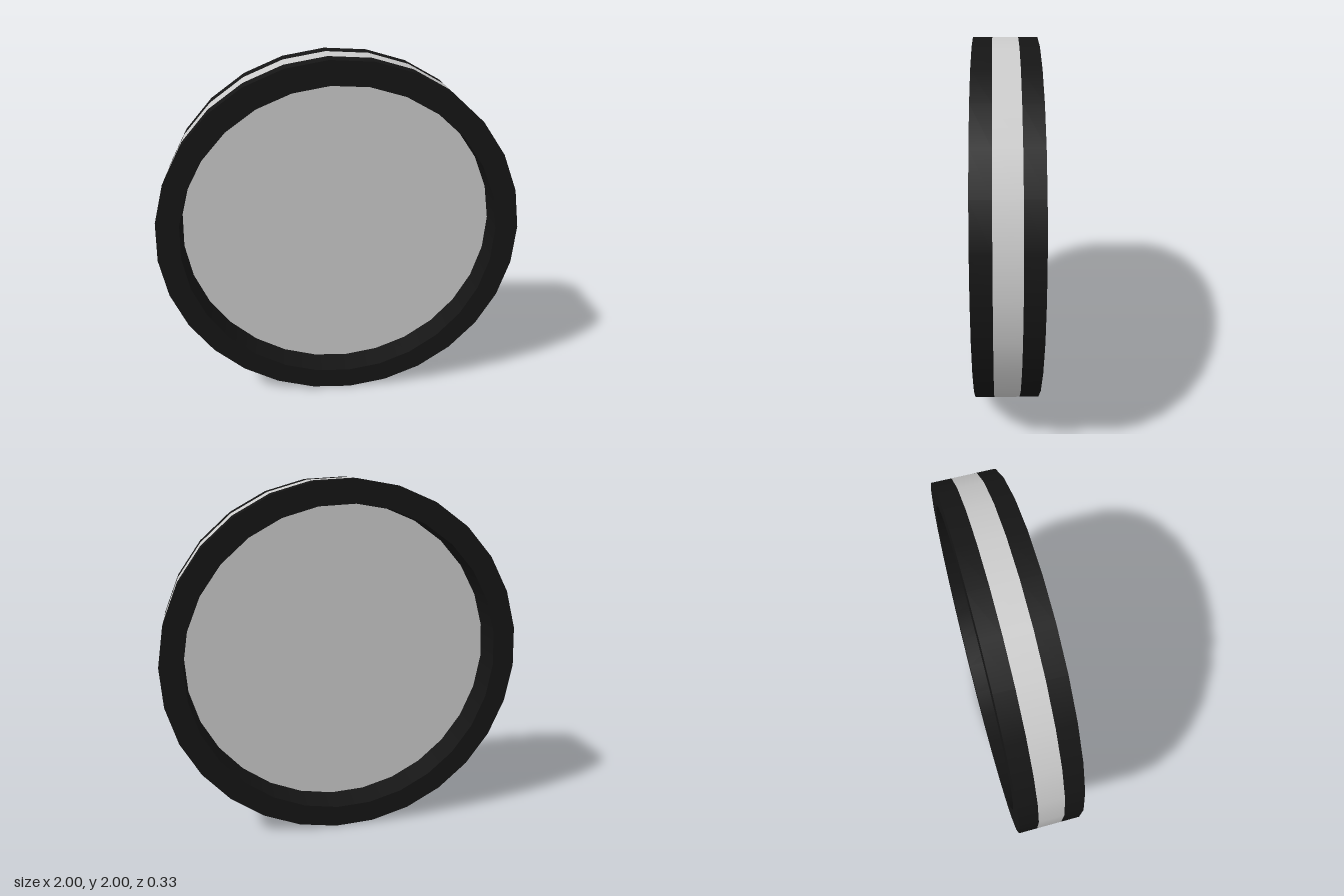
import * as THREE from 'three';

const SIDES = 28;
const PHASE = THREE.MathUtils.degToRad(3.3);
const OUTER = 1.002, INNER = 0.876;
const HALF_DEPTH = 0.167, HALF_BAND = 0.067;

export function createModel() {
  const model = new THREE.Group();
  model.name = 'framedDisc';

  const grey = new THREE.MeshStandardMaterial({ color: 0xcccccc, side: THREE.DoubleSide });
  const black = new THREE.MeshStandardMaterial({ color: 0x151515, side: THREE.DoubleSide });

  const add = (name, geometry, material, z = 0) => {
    const mesh = new THREE.Mesh(geometry, material);
    mesh.name = name;
    mesh.position.set(0, 1, z);
    model.add(mesh);
  };

  // Open wall around the z axis
  const wall = (radius, depth) =>
    new THREE.CylinderGeometry(radius, radius, depth, SIDES, 1, true, PHASE).rotateX(Math.PI / 2);

  // Grey band around the middle of the edge
  add('edgeBand', wall(OUTER, HALF_BAND * 2), grey);

  // Dark rims: outer wall and flat face on each side
  for (const [side, s] of [['front', 1], ['back', -1]]) {
    add(side + 'RimWall', wall(OUTER, HALF_DEPTH - HALF_BAND), black, s * (HALF_DEPTH + HALF_BAND) / 2);
    const face = new THREE.RingGeometry(INNER, OUTER, SIDES, 1, PHASE);
    if (s < 0) face.scale(-1, 1, 1).rotateY(Math.PI); // back face turned outwards
    add(side + 'RimFace', face, black, s * HALF_DEPTH);
  }

  // Inner wall and the thin recessed panel
  add('innerWall', wall(INNER, HALF_DEPTH * 2), black);
  add('panel', new THREE.CircleGeometry(INNER, SIDES, PHASE), grey, 0.01);

  return model;
}
